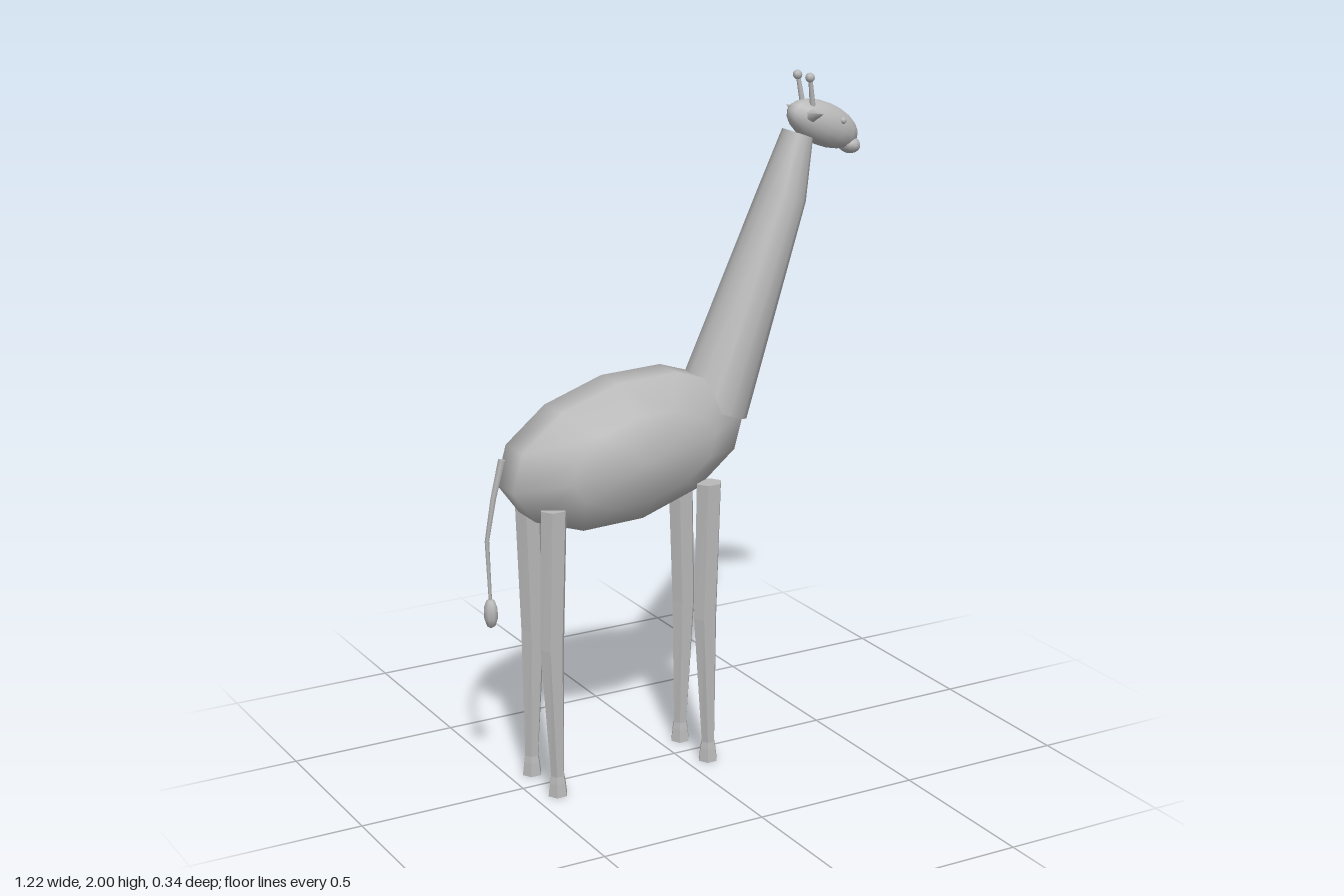
import * as THREE from 'three';

const hide = new THREE.MeshStandardMaterial({ color: 0xb8b8b8 });
hide.name = 'plain grey';

// Closed loft of regular rings along a path in the xy plane; rows are [x, y, rAcross, rZ]
function loft(rows, sides, z = 0, flat = false, fixed = null) {
  const pos = [], idx = [];
  rows.forEach(([x, y, r, rz], i) => {
    const a = rows[Math.max(i - 1, 0)], b = rows[Math.min(i + 1, rows.length - 1)];
    const t = fixed || new THREE.Vector2(b[0] - a[0], b[1] - a[1]).normalize();
    for (let k = 0; k < sides; k++) {
      const q = (k / sides) * Math.PI * 2, c = Math.cos(q) * r;
      pos.push(x + t.y * c, y - t.x * c, z + Math.sin(q) * (rz ?? r));
    }
  });
  for (let i = 0; i < rows.length - 1; i++)
    for (let k = 0; k < sides; k++) {
      const a = i * sides + k, b = i * sides + (k + 1) % sides;
      idx.push(a, a + sides, b, b, a + sides, b + sides);
    }
  // End caps use their own vertices so their rims stay sharp
  for (const row of [0, rows.length - 1]) {
    const start = pos.length / 3;
    for (let k = 0; k < sides * 3; k++) pos.push(pos[row * sides * 3 + k]);
    for (let k = 1; k < sides - 1; k++)
      row === 0 ? idx.push(start, start + k, start + k + 1) : idx.push(start, start + k + 1, start + k);
  }
  let g = new THREE.BufferGeometry();
  g.setAttribute('position', new THREE.Float32BufferAttribute(pos, 3));
  g.setIndex(idx);
  if (flat) g = g.toNonIndexed();
  g.computeVertexNormals();
  return g;
}

// Sphere stretched to an ellipsoid, tilted about z and placed
function ellipsoid(rx, ry, rz, tilt, x, y, z, w = 12, h = 8) {
  return new THREE.SphereGeometry(1, w, h).scale(rx, ry, rz).rotateZ(tilt).translate(x, y, z);
}

export function createModel() {
  const model = new THREE.Group();
  const add = (name, geometry) => {
    const mesh = new THREE.Mesh(geometry, hide);
    mesh.name = name;
    model.add(mesh);
  };

  // Body: coarse ellipsoid with its poles at the flanks
  add('body', new THREE.SphereGeometry(1, 12, 5).rotateX(Math.PI / 2)
    .scale(0.395, 0.217, 0.172).rotateZ(0.18).translate(-0.17, 0.98, 0));

  // Neck
  add('neck', loft([
    [0.12, 1.055, 0.108], [0.353, 1.655, 0.071], [0.402, 1.825, 0.046],
  ], 12, 0, false, new THREE.Vector2(0.35, 0.937)));

  // Head and muzzle
  add('head', ellipsoid(0.125, 0.062, 0.055, -0.42, 0.485, 1.845, 0, 16, 10));
  add('muzzle', ellipsoid(0.033, 0.026, 0.038, -0.3, 0.576, 1.778, 0));

  for (const s of [1, -1]) {
    const side = s > 0 ? 'Left' : 'Right';
    // Horns with round tips
    const horn = new THREE.CylinderGeometry(0.006, 0.009, 0.1, 8)
      .rotateX(s * 0.08).rotateZ(0.16).translate(0.429, 1.936, s * 0.029);
    add('horn' + side, horn);
    add('hornTip' + side, new THREE.SphereGeometry(0.014, 8, 6).translate(0.42, 1.986, s * 0.033));

    // Ears point sideways
    add('ear' + side, new THREE.ConeGeometry(0.019, 0.06, 6)
      .rotateX(s * Math.PI / 2 - s * 0.2).translate(0.425, 1.885, s * 0.07));

    // Eyes
    add('eye' + side, new THREE.SphereGeometry(0.01, 8, 6).translate(0.525, 1.857, s * 0.046));

    // Legs with a slight knee bend and a flared hoof
    for (const [name, x] of [['backLeg', -0.43], ['frontLeg', 0.067]]) {
      const k = -s * 0.011;
      add(name + side, loft([
        [x, 0, 0.03, 0.03], [x, 0.04, 0.025, 0.025], [x, 0.06, 0.021, 0.021],
        [x + k, 0.45, 0.037, 0.03], [x, 0.86, 0.04, 0.036],
      ], 6, s * 0.083, true, new THREE.Vector2(0, 1)));
    }
  }

  // Tail and tuft
  add('tail', loft([
    [-0.547, 1.0, 0.011], [-0.575, 0.89, 0.009], [-0.597, 0.77, 0.007], [-0.59, 0.58, 0.005],
  ], 6));
  add('tailTuft', ellipsoid(0.021, 0.045, 0.023, 0, -0.59, 0.556, 0, 8, 5));

  return model;
}
